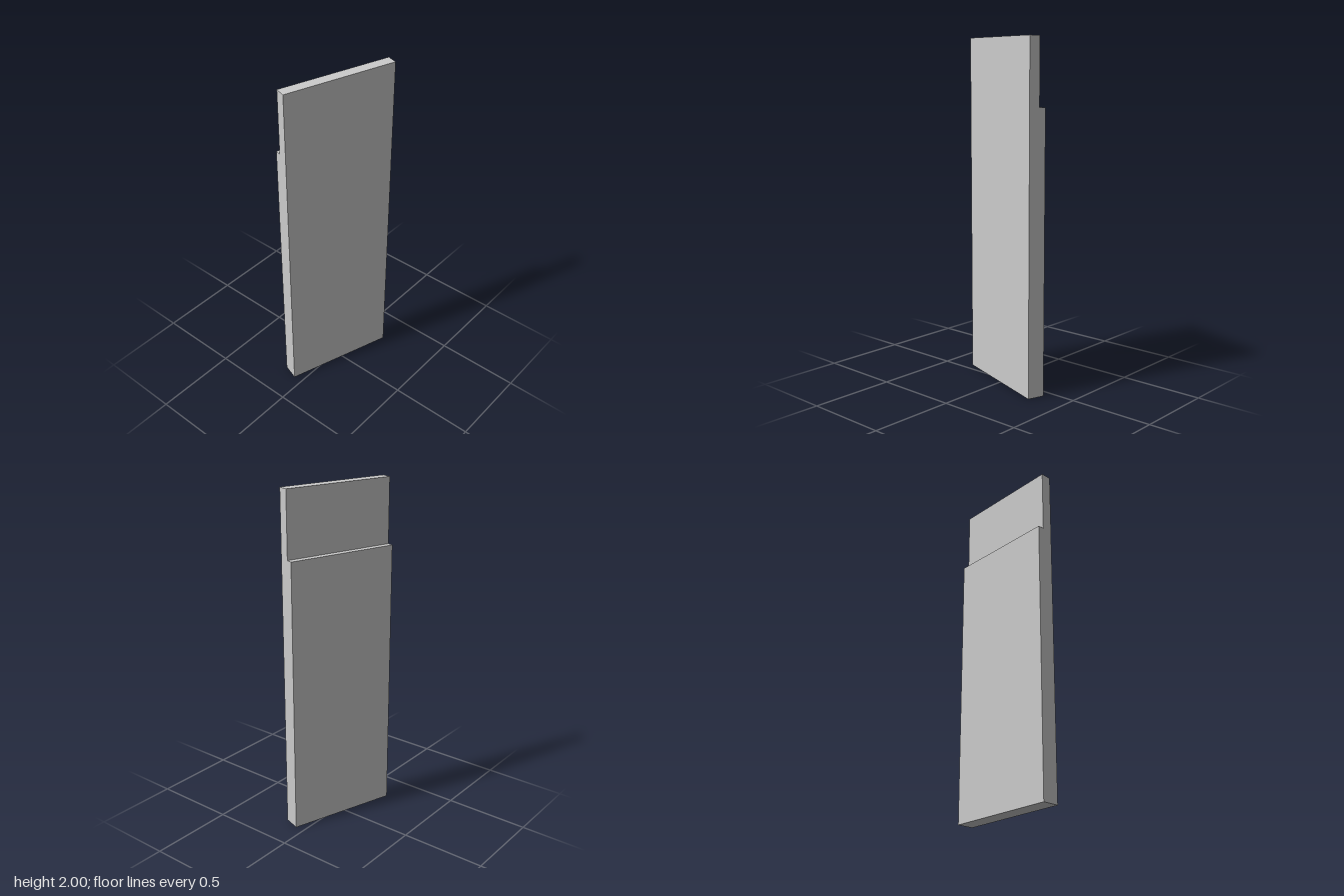
import * as THREE from 'three';

const HEIGHT = 2, THICKNESS = 0.1, WIDTH = 0.666;
const STEP_HEIGHT = 1.62, STEP_DEPTH = 0.037;
const TURN = -0.317;

export function createModel() {
  const group = new THREE.Group();
  group.name = 'steppedPanel';

  // Side profile: upright slab with a shallow rebate along its upper back edge
  const h = THICKNESS / 2;
  const profile = new THREE.Shape([
    [-h, 0], [h, 0], [h, HEIGHT], [-h + STEP_DEPTH, HEIGHT],
    [-h + STEP_DEPTH, STEP_HEIGHT], [-h, STEP_HEIGHT],
  ].map(([x, y]) => new THREE.Vector2(x, y)));

  // Sweep the profile across the panel's width
  const geometry = new THREE.ExtrudeGeometry(profile, { depth: WIDTH, bevelEnabled: false });
  geometry.translate(0, 0, -WIDTH / 2);

  const panel = new THREE.Mesh(
    geometry,
    new THREE.MeshStandardMaterial({ color: 0xcccccc, flatShading: true }),
  );
  panel.name = 'panel';
  panel.rotation.y = TURN;
  group.add(panel);
  return group;
}
